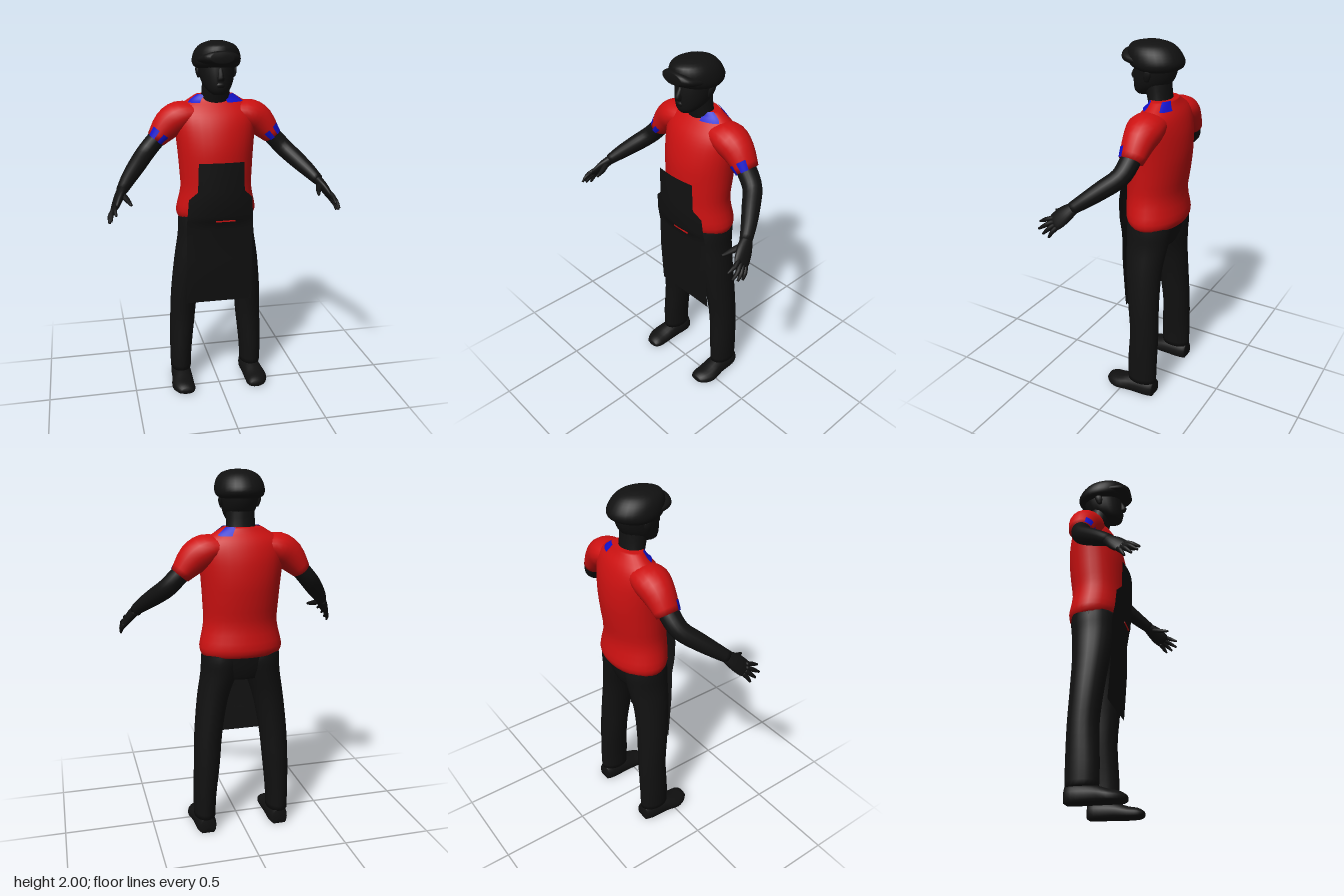
import * as THREE from 'three';

const mat = (name, color, side = THREE.FrontSide) =>
  Object.assign(new THREE.MeshStandardMaterial({ color, side }), { name });

// Smooth interpolation of cross-section rows
function refine(rows, steps) {
  const out = [];
  for (let i = 0; i < rows.length - 1; i++) {
    const a = rows[Math.max(i - 1, 0)], b = rows[i], c = rows[i + 1], d = rows[Math.min(i + 2, rows.length - 1)];
    for (let s = 0; s < steps; s++) {
      const t = s / steps;
      out.push(b.map((_, k) => b[k] + 0.5 * t * (c[k] - a[k] +
        t * (2 * a[k] - 5 * b[k] + 4 * c[k] - d[k] + t * (3 * (b[k] - c[k]) + d[k] - a[k])))));
    }
  }
  out.push(rows[rows.length - 1]);
  return out;
}

// Loft of ellipses. Row: [x, y, z, radiusU, radiusV].
// axis 'y': U = z, V = x; axis 'z': U = x, V = y; 'path': sections follow the path.
function loft(rows, axis = 'path', { sides = 20, steps = 3, from = 0, span = Math.PI * 2 } = {}) {
  const r = refine(rows, steps), closed = span > 6.28, n = closed ? sides : sides + 1;
  const pos = [], idx = [];
  const at = (i) => new THREE.Vector3(r[i][0], r[i][1], r[i][2]);
  for (let i = 0; i < r.length; i++) {
    let u, v;
    if (axis === 'y') { u = new THREE.Vector3(0, 0, 1); v = new THREE.Vector3(1, 0, 0); }
    else if (axis === 'z') { u = new THREE.Vector3(1, 0, 0); v = new THREE.Vector3(0, 1, 0); }
    else {
      const t = at(Math.min(i + 1, r.length - 1)).sub(at(Math.max(i - 1, 0))).normalize();
      u = new THREE.Vector3(0, 0, 1).cross(t).normalize();
      v = t.clone().cross(u);
    }
    for (let j = 0; j < n; j++) {
      const a = from + span * j / sides;
      const p = at(i).addScaledVector(u, r[i][3] * Math.cos(a)).addScaledVector(v, r[i][4] * Math.sin(a));
      pos.push(p.x, p.y, p.z);
    }
  }
  for (let i = 0; i < r.length - 1; i++) for (let j = 0; j < sides; j++) {
    const k = (j + 1) % n, a = i * n + j, b = i * n + k, c = b + n, d = a + n;
    idx.push(a, b, c, a, c, d);
  }
  if (closed) {
    const last = (r.length - 1) * n, s = pos.length / 3;
    pos.push(...at(0).toArray(), ...at(r.length - 1).toArray());
    for (let j = 0; j < n; j++) {
      const k = (j + 1) % n;
      idx.push(s, k, j, s + 1, last + j, last + k);
    }
  }
  const g = new THREE.BufferGeometry();
  g.setAttribute('position', new THREE.Float32BufferAttribute(pos, 3));
  g.setIndex(idx);
  g.computeVertexNormals();
  return g;
}

export function createModel() {
  const model = new THREE.Group();
  const black = mat('black', 0x111111), cloth = mat('apronBlack', 0x111111, THREE.DoubleSide);
  const red = mat('red', 0xcc1111), blue = mat('blue', 0x1111cc, THREE.DoubleSide);
  const add = (name, geo, m) => {
    const mesh = new THREE.Mesh(geo, m);
    mesh.name = name;
    model.add(mesh);
    return mesh;
  };

  // Shirt body
  add('shirt', loft([
    [0, 1.035, -0.105, 0.14, 0.215], [0, 1.08, -0.102, 0.16, 0.228], [0, 1.2, -0.093, 0.153, 0.203],
    [0, 1.32, -0.1, 0.16, 0.207], [0, 1.43, -0.107, 0.163, 0.215], [0, 1.53, -0.115, 0.15, 0.225],
    [0, 1.6, -0.122, 0.128, 0.228], [0, 1.65, -0.13, 0.1, 0.205], [0, 1.69, -0.133, 0.07, 0.145],
    [0, 1.715, -0.13, 0.06, 0.105]], 'y', { sides: 28 }), red);

  // Neck, head and face
  add('neck', loft([[0, 1.66, -0.115, 0.06, 0.085], [0, 1.73, -0.1, 0.065, 0.077],
    [0, 1.82, -0.085, 0.075, 0.075]], 'y'), black);
  add('head', loft([[0, 1.725, -0.005, 0.03, 0.03], [0, 1.745, -0.02, 0.06, 0.058],
    [0, 1.785, -0.055, 0.1, 0.083], [0, 1.84, -0.072, 0.115, 0.096],
    [0, 1.9, -0.08, 0.115, 0.1]], 'y'), black);
  add('nose', loft([[0, 1.8, 0.045, 0.014, 0.018], [0, 1.82, 0.045, 0.022, 0.017],
    [0, 1.87, 0.028, 0.01, 0.01]], 'y', { sides: 10 }), black);
  add('lips', loft([[0, 1.762, 0.03, 0.012, 0.024], [0, 1.778, 0.034, 0.015, 0.026],
    [0, 1.792, 0.03, 0.012, 0.02]], 'y', { sides: 10 }), black);

  // Flat cap with a short peak
  add('cap', loft([[0, 1.86, -0.093, 0.1, 0.108], [0, 1.875, -0.085, 0.135, 0.125],
    [0, 1.905, -0.078, 0.15, 0.13], [0, 1.95, -0.065, 0.138, 0.118], [0, 1.983, -0.055, 0.11, 0.088],
    [0, 2.0, -0.06, 0.05, 0.04]], 'y', { sides: 28 }), black);
  add('capPeak', loft([[0, 1.905, -0.04, 0.122, 0.032], [0, 1.913, 0.03, 0.11, 0.036],
    [0, 1.92, 0.07, 0.09, 0.036], [0, 1.922, 0.09, 0.06, 0.028]], 'z'), black);

  // Hips
  add('hips', loft([[0, 0.9, -0.1, 0.09, 0.14], [0, 0.97, -0.1, 0.115, 0.212],
    [0, 1.08, -0.1, 0.135, 0.212]], 'y'), black);

  // Collar edging in three pieces around the neck
  const collar = [[0, 1.675, -0.129, 0.09, 0.165], [0, 1.692, -0.133, 0.074, 0.147],
    [0, 1.718, -0.13, 0.063, 0.108]];
  [[0.35, 0.8], [-1.2, 0.6], [2.1, 0.6]].forEach(([from, span]) =>
    add('collarEdge', loft(collar, 'y', { sides: 8, from, span }), blue));

  for (const s of [1, -1]) {
    const side = s > 0 ? 'left' : 'right';
    const m = (rows) => rows.map(([x, ...rest]) => [x * s, ...rest]);
    const part = (name, rows, axis, opt) => add(side + name, loft(m(rows), axis, opt), black);

    // Sleeve with edging patches at its cuff
    add(side + 'Sleeve', loft(m([[0.1, 1.62, -0.125, 0.05, 0.085], [0.19, 1.6, -0.125, 0.083, 0.1],
      [0.26, 1.555, -0.125, 0.083, 0.085], [0.33, 1.475, -0.122, 0.053, 0.066]])), red);
    [[0.5, 0.7], [1.6, 0.5]].forEach(([from, span]) => add(side + 'SleeveEdge', loft(
      m([[0.298, 1.513, -0.124, 0.07, 0.078], [0.332, 1.473, -0.122, 0.056, 0.069]]),
      'path', { sides: 6, from: s > 0 ? from : Math.PI - from - span, span }), blue));

    // Arm
    part('Arm', [[0.27, 1.54, -0.12, 0.05, 0.055], [0.34, 1.465, -0.115, 0.05, 0.054],
      [0.395, 1.405, -0.095, 0.05, 0.05], [0.45, 1.35, -0.03, 0.047, 0.047],
      [0.5, 1.3, 0.035, 0.04, 0.04], [0.54, 1.255, 0.095, 0.03, 0.033]]);

    // Hand: palm, four fingers and a thumb
    part('Palm', [[0.535, 1.26, 0.085, 0.026, 0.031], [0.56, 1.225, 0.125, 0.024, 0.045],
      [0.583, 1.185, 0.165, 0.018, 0.046], [0.592, 1.17, 0.18, 0.01, 0.036]]);
    [[0.58, 1.2, 0.182, 0.585, 1.165, 0.262], [0.588, 1.185, 0.175, 0.61, 1.135, 0.255],
      [0.592, 1.172, 0.165, 0.617, 1.117, 0.225], [0.595, 1.162, 0.152, 0.618, 1.106, 0.19]]
      .forEach(([x, y, z, X, Y, Z]) => part('Finger', [[x, y, z, 0.013, 0.013],
        [(x + X) / 2 + 0.006, (y + Y) / 2 + 0.003, (z + Z) / 2, 0.012, 0.012], [X, Y, Z, 0.006, 0.006]],
      'path', { sides: 8 }));
    part('Thumb', [[0.545, 1.24, 0.115, 0.018, 0.018], [0.52, 1.22, 0.165, 0.015, 0.015],
      [0.503, 1.205, 0.22, 0.007, 0.007]], 'path', { sides: 8 });

    // Trouser leg
    part('Leg', [[0.215, 0.08, -0.118, 0.086, 0.06], [0.213, 0.2, -0.118, 0.088, 0.064],
      [0.2, 0.4, -0.122, 0.084, 0.073], [0.187, 0.58, -0.11, 0.09, 0.078],
      [0.158, 0.78, -0.097, 0.103, 0.086], [0.122, 0.92, -0.097, 0.118, 0.1],
      [0.11, 1.0, -0.1, 0.125, 0.108], [0.108, 1.05, -0.1, 0.12, 0.105]], 'y');

    // Shoe, with a flat sole
    const shoe = loft(m([[0.212, 0.03, -0.2, 0.042, 0.06], [0.213, 0.03, -0.16, 0.056, 0.07],
      [0.216, 0.03, -0.06, 0.06, 0.06], [0.222, 0.02, 0.02, 0.066, 0.045],
      [0.214, 0.018, 0.075, 0.056, 0.035], [0.208, 0.02, 0.105, 0.035, 0.015]]), 'z');
    const p = shoe.attributes.position;
    for (let i = 0; i < p.count; i++) p.setY(i, Math.max(p.getY(i), 0));
    shoe.computeVertexNormals();
    add(side + 'Shoe', shoe, black);

    // Ear
    part('Ear', [[0.097, 1.81, -0.075, 0.012, 0.006], [0.103, 1.84, -0.08, 0.022, 0.01],
      [0.104, 1.865, -0.085, 0.018, 0.008]], 'y', { sides: 8 });
  }

  // Apron sheet. Row: [y, half width, z at centre, z at edge]
  const rows = [[1.37, 0.125, 0.082, 0.07], [1.29, 0.128, 0.084, 0.068], [1.21, 0.13, 0.084, 0.066],
    [1.165, 0.178, 0.083, 0.048], [1.07, 0.185, 0.075, 0.04], [1.035, 0.187, 0.057, 0.033],
    [0.98, 0.187, 0.036, 0.024], [0.8, 0.188, 0.032, 0.022], [0.66, 0.19, 0.015, 0.012],
    [0.535, 0.192, 0, 0.002]];
  const apron = new THREE.PlaneGeometry(2, 1, 10, rows.length - 1);
  const a = apron.attributes.position;
  for (let i = 0; i < a.count; i++) {
    const [y, w, zc, ze] = rows[Math.floor(i / 11)], x = a.getX(i);
    a.setXYZ(i, x * w, y, zc + (ze - zc) * x * x);
  }
  apron.computeVertexNormals();
  add('apron', apron, cloth);

  // Sliver of shirt hem showing at the waist fold
  const hem = add('shirtHem', new THREE.BoxGeometry(0.11, 0.008, 0.006), red);
  hem.position.set(0.025, 1.036, 0.057);

  return model;
}
